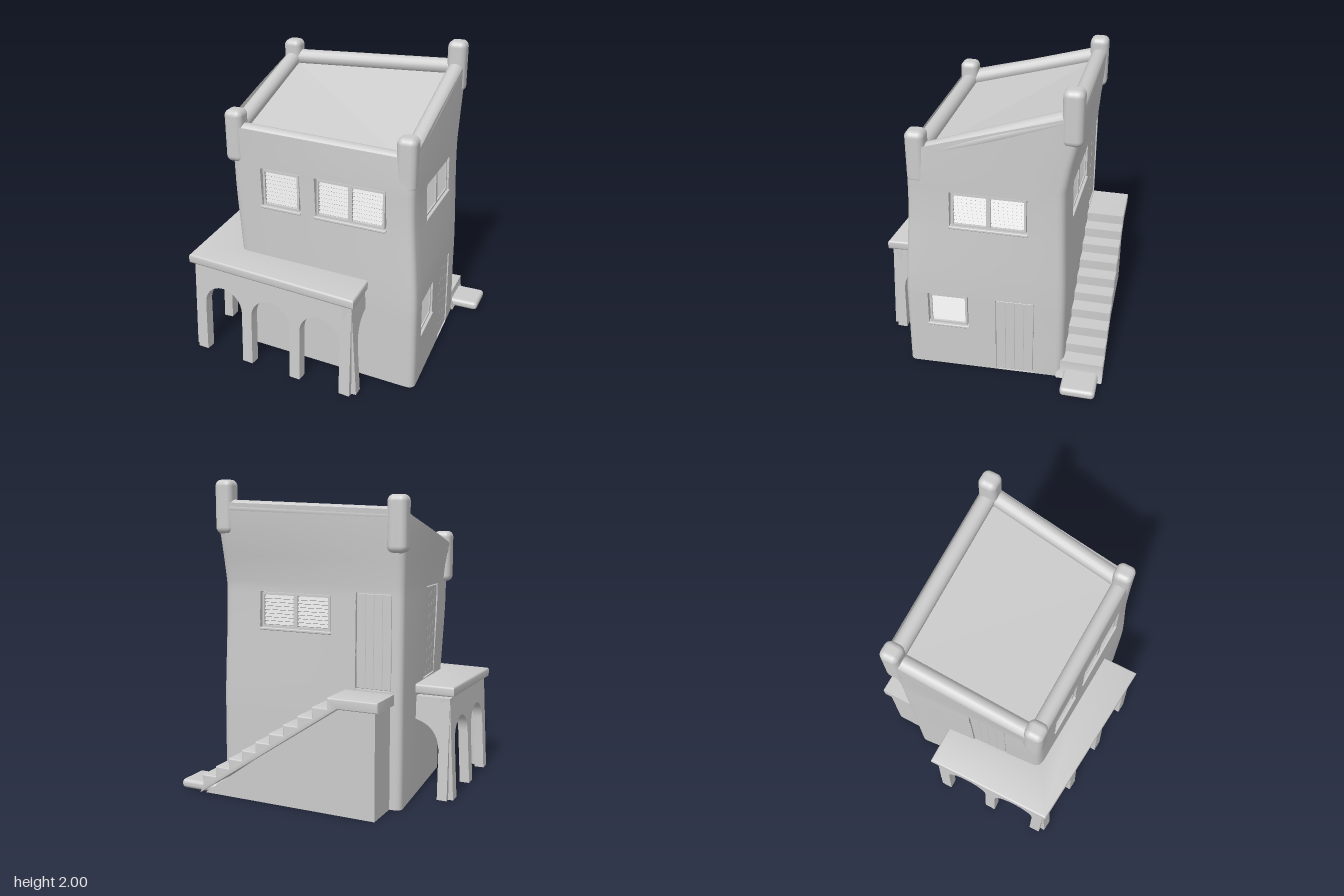
import * as THREE from 'three';
import { toCreasedNormals } from 'three/addons/utils/BufferGeometryUtils.js';
import { RoundedBoxGeometry } from 'three/addons/geometries/RoundedBoxGeometry.js';

const mat = new THREE.MeshStandardMaterial({ color: 0xcccccc, side: THREE.DoubleSide });
const V = (x, y, z) => new THREE.Vector3(x, y, z);
const lerp = THREE.MathUtils.lerp;

function add(parent, name, geo, x = 0, y = 0, z = 0) {
  const m = new THREE.Mesh(geo, mat);
  m.name = name;
  m.position.set(x, y, z);
  parent.add(m);
  return m;
}

// Outer corners [x, z] at each level; order: front left, front right, back right, back left (seen from the front)
const levels = [0, 0.5, 1.3, 1.8];
const corners = [
  [[-0.555, 0.69], [-0.555, 0.685], [-0.52, 0.632], [-0.49, 0.615]],
  [[0.475, 0.645], [0.475, 0.64], [0.452, 0.625], [0.53, 0.63]],
  [[0.485, -0.635], [0.485, -0.635], [0.485, -0.635], [0.52, -0.65]],
  [[-0.48, -0.545], [-0.48, -0.55], [-0.48, -0.585], [-0.487, -0.645]],
];
const rim = [1.54, 1.86, 1.81, 1.57];
const postTops = [1.66, 2.0, 1.9, 1.67];

// Openings per wall: kind, span across the wall (0..1), bottom, top, shutter count
const openings = [
  [['window', 0.278, 0.772, 1.05, 1.29, 2], ['window', 0.144, 0.401, 0.32, 0.56, 1], ['door', 0.572, 0.813, 0, 0.555]],
  [['window', 0.218, 0.621, 1.06, 1.3, 2], ['door', 0.757, 0.945, 0.73, 1.32]],
  [['door', 0.5, 0.75, 0.73, 1.33]],
  [['window', 0.166, 0.39, 1.06, 1.32, 1], ['window', 0.473, 0.86, 1.06, 1.32, 2]],
];

function corner(i, y) {
  const c = corners[i % 4];
  let k = 0;
  while (k < 2 && y > levels[k + 1]) k++;
  const f = THREE.MathUtils.smoothstep(y, levels[k], levels[k + 1]);
  return V(lerp(c[k][0], c[k + 1][0], f), y, lerp(c[k][1], c[k + 1][1], f));
}

// Point on wall i, at fraction t across and height y, sunk by depth d
function wallPoint(i, t, y, d = 0) {
  const a = corner(i, y), b = corner(i + 1, y);
  const dir = b.clone().sub(a).normalize();
  return a.lerp(b, t).add(V(dir.z * d, 0, -dir.x * d));
}

const ROUND = 0.05;
const SPLIT = 1.36;
const rows = [...new Set([0, 0.2, 0.45, 0.65, 0.9, 1.18, SPLIT, ...openings.flat().flatMap(o => [o[3], o[4]])])].sort((a, b) => a - b);
const rowCount = rows.length + 3;
const rowY = (r, top) => r < rows.length ? rows[r] : lerp(SPLIT, top, (r - rows.length + 1) / 3);

function buildWalls(house) {
  const pos = [];
  const quad = (a, b, c, d) => [a, b, c, a, c, d].forEach(p => pos.push(p.x, p.y, p.z));
  for (let i = 0; i < 4; i++) {
    const list = openings[i];
    const cols = [...new Set([ROUND, 1 - ROUND, 0.5, ...list.flatMap(o => [o[1], o[2]])])].sort((a, b) => a - b);
    const at = (t, r) => wallPoint(i, t, rowY(r, lerp(rim[i], rim[(i + 1) % 4], t)));
    // Flat of the wall, leaving the openings free
    for (let c = 0; c < cols.length - 1; c++) for (let r = 0; r < rowCount - 1; r++) {
      const tm = (cols[c] + cols[c + 1]) / 2, ym = (rowY(r, 1.6) + rowY(r + 1, 1.6)) / 2;
      if (list.some(o => tm > o[1] && tm < o[2] && ym > o[3] && ym < o[4])) continue;
      quad(at(cols[c], r), at(cols[c + 1], r), at(cols[c + 1], r + 1), at(cols[c], r + 1));
    }
    // Recess of each opening
    for (const [kind, t0, t1, y0, y1] of list) {
      const d = kind === 'door' ? 0.02 : 0.04;
      const ring = [[t0, y0], [t1, y0], [t1, y1], [t0, y1]];
      const outer = ring.map(p => wallPoint(i, ...p)), inner = ring.map(p => wallPoint(i, ...p, d));
      for (let k = 0; k < 4; k++) quad(outer[k], outer[(k + 1) % 4], inner[(k + 1) % 4], inner[k]);
      quad(...inner);
    }
    // Rounded corner at the start of the wall
    const prev = (i + 3) % 4, n = 5;
    const arc = (k, r) => {
      const f = k / n;
      const a = wallPoint(prev, 1 - ROUND, rowY(r, lerp(rim[prev], rim[i], 1 - ROUND)));
      const m = corner(i, rowY(r, rim[i]));
      const b = at(ROUND, r);
      return a.multiplyScalar((1 - f) ** 2).addScaledVector(m, 2 * f * (1 - f)).addScaledVector(b, f * f);
    };
    for (let k = 0; k < n; k++) for (let r = 0; r < rowCount - 1; r++)
      quad(arc(k, r), arc(k + 1, r), arc(k + 1, r + 1), arc(k, r + 1));
  }
  const geo = new THREE.BufferGeometry();
  geo.setAttribute('position', new THREE.Float32BufferAttribute(pos, 3));
  add(house, 'walls', toCreasedNormals(geo, 0.6));
}

// Group whose x runs along the wall, y up it and z out of it
function frameAt(parent, name, origin, along, up) {
  const g = new THREE.Group();
  g.name = name;
  const x = along.clone().normalize(), z = x.clone().cross(up).normalize();
  g.applyMatrix4(new THREE.Matrix4().makeBasis(x, z.clone().cross(x), z).setPosition(origin));
  parent.add(g);
  return g;
}

function fillOpening(house, i, [kind, t0, t1, y0, y1, shutters]) {
  const tm = (t0 + t1) / 2, ym = (y0 + y1) / 2;
  const along = wallPoint(i, t1, ym).sub(wallPoint(i, t0, ym));
  const up = wallPoint(i, tm, y1).sub(wallPoint(i, tm, y0));
  const g = frameAt(house, kind, wallPoint(i, tm, ym), along, up);
  const w = along.length(), h = up.length();
  if (kind === 'door') {
    for (let k = 0; k < 4; k++)
      add(g, 'doorPlank', new RoundedBoxGeometry(w / 4 - 0.002, h - 0.012, 0.016, 1, 0.003), (k - 1.5) * (w / 4 - 0.003), 0, -0.014);
    return;
  }
  const sw = (w - 0.02) / shutters, bar = 0.014;
  for (let s = 0; s < shutters; s++) {
    const cx = (s - (shutters - 1) / 2) * sw;
    for (const e of [-1, 1]) {
      add(g, 'shutterStile', new THREE.BoxGeometry(bar, h - 0.02, 0.025), cx + e * (sw - bar) / 2, 0, -0.022);
      add(g, 'shutterRail', new THREE.BoxGeometry(sw, bar, 0.025), cx, e * (h - 0.03) / 2, -0.022);
    }
    for (let k = 0; k < 8; k++)
      add(g, 'slat', new THREE.BoxGeometry(sw - 2 * bar, 0.024, 0.005), cx, (k - 3.5) * (h - 0.05) / 8, -0.024).rotation.x = -0.6;
  }
  add(g, 'sill', new RoundedBoxGeometry(w + 0.01, 0.018, 0.05, 2, 0.006), 0, -h / 2, -0.016);
}

function buildRoof(house) {
  const tops = rim.map((y, i) => corner(i, y).multiply(V(1, 1, 1)));
  const inset = tops.map(p => V(p.x - Math.sign(p.x) * 0.052, p.y, p.z - Math.sign(p.z) * 0.052));
  const floor = new THREE.BufferGeometry().setFromPoints([0, 1, 2, 0, 2, 3].map(k => inset[k].clone().setY(inset[k].y - 0.06)));
  floor.computeVertexNormals();
  add(house, 'roofFloor', floor);
  inset.forEach((p, i) => {
    const a = p.clone().setY(p.y - 0.035), q = inset[(i + 1) % 4], b = q.clone().setY(q.y - 0.035);
    add(house, 'parapet', new THREE.TubeGeometry(new THREE.LineCurve3(a, b), 1, 0.052, 16));
    add(house, 'cornerPost', new RoundedBoxGeometry(0.122, 0.34, 0.122, 4, 0.04), p.x, postTops[i] - 0.17, p.z);
  });
}

const shapeOf = pts => new THREE.Shape(pts.map(p => new THREE.Vector2(...p)));
const THICK = 0.065;

// Upright slab between two ground points, its foot spreading outward
function porchWall(porch, name, a, b, shape) {
  const geo = new THREE.ExtrudeGeometry(shape, { depth: THICK, bevelEnabled: false, curveSegments: 12 });
  const p = geo.attributes.position;
  for (let k = 0; k < p.count; k++) p.setZ(k, p.getZ(k) - THICK + (0.64 - p.getY(k)) * 0.05);
  add(frameAt(porch, name, a, b.clone().sub(a), V(0, 1, 0)), name, toCreasedNormals(geo, 0.5));
}

function arcade(porch, name, a, b, n) {
  const L = a.distanceTo(b), leg = 0.075, gap = (L - leg * (n + 1)) / n;
  const s = new THREE.Shape().moveTo(0, 0.65).lineTo(0, 0);
  for (let k = 0; k < n; k++) {
    const x = k * (gap + leg) + leg;
    s.lineTo(x, 0).lineTo(x, 0.36);
    s.absellipse(x + gap / 2, 0.36, gap / 2, 0.14, Math.PI, 0, true);
    s.lineTo(x + gap, 0);
  }
  s.lineTo(L, 0).lineTo(L, 0.65);
  porchWall(porch, name, a, b, s);
}

function bracket(porch, a, b, mirrored) {
  const L = a.distanceTo(b), X = x => mirrored ? L - x : x;
  const s = new THREE.Shape().moveTo(X(0), 0).lineTo(X(0.065), 0).lineTo(X(0.065), 0.32);
  s.quadraticCurveTo(X(0.075), 0.49, X(L), 0.51).lineTo(X(L), 0.65).lineTo(X(0), 0.65);
  porchWall(porch, 'endBracket', a, b, s);
}

function buildPorch(house) {
  const porch = new THREE.Group();
  porch.name = 'porch';
  house.add(porch);
  const p0 = V(0.165, 0, -0.83), p1 = V(-0.645, 0, -0.815), p2 = V(-0.75, 0, 0.345);
  arcade(porch, 'backArcade', p0, p1, 2);
  arcade(porch, 'sideArcade', p1, p2, 3);
  bracket(porch, p2, V(-0.52, 0, 0.345), false);
  bracket(porch, V(0.165, 0, -0.56), p0, true);
  const outline = [[0.18, -0.85], [-0.66, -0.83], [-0.765, 0.355], [-0.47, 0.35], [-0.47, -0.52], [0.18, -0.52]];
  const deck = new THREE.ExtrudeGeometry(shapeOf(outline.map(([x, z]) => [x, -z])),
    { depth: 0.035, bevelSize: 0.012, bevelThickness: 0.014, bevelSegments: 3 });
  deck.rotateX(-Math.PI / 2);
  const p = deck.attributes.position;
  for (let k = 0; k < p.count; k++) p.setY(k, p.getY(k) + 0.655 + (p.getX(k) + 0.7) * 0.03);
  add(porch, 'deck', toCreasedNormals(deck, 0.6));
}

// Side-on outline of [z, y] points, swept from x0 to x1
function sweep(pts, x0, x1, bevel) {
  const geo = new THREE.ExtrudeGeometry(shapeOf(pts.map(([z, y]) => [-z, y])), {
    depth: x1 - x0 - 2 * bevel, bevelEnabled: bevel > 0, bevelSize: bevel, bevelThickness: bevel, bevelOffset: -bevel, bevelSegments: 3 });
  return toCreasedNormals(geo.rotateY(Math.PI / 2).translate(x0 + bevel, 0, 0), 0.6);
}

function buildStairs(house) {
  const stairs = new THREE.Group();
  stairs.name = 'stairs';
  house.add(stairs);
  const rise = 0.066, run = 0.0995, pts = [[0.66, 0.0]];
  for (let i = 1; i <= 10; i++) {
    const z = 0.635 - (i - 1) * run;
    pts.push([z, 0.06 + (i - 1) * rise], [z, 0.06 + i * rise]);
  }
  pts.push([-0.585, 0.72], [-0.585, 0.655], [-0.33, 0.655]);
  add(stairs, 'steps', sweep(pts, 0.43, 0.735, 0.008));
  add(stairs, 'bottomStep', new RoundedBoxGeometry(0.225, 0.06, 0.28, 3, 0.025), 0.595, 0.03, 0.685);
  add(stairs, 'supportWall', sweep([[0.63, 0], [-0.32, 0.68], [-0.56, 0.68], [-0.56, 0]], 0.43, 0.712, 0));
}

export function createModel() {
  const model = new THREE.Group();
  model.name = 'house';
  const house = new THREE.Group();
  house.name = 'building';
  house.rotation.y = THREE.MathUtils.degToRad(24);
  model.add(house);
  buildWalls(house);
  openings.forEach((list, i) => list.forEach(o => fillOpening(house, i, o)));
  buildRoof(house);
  buildPorch(house);
  buildStairs(house);
  return model;
}
